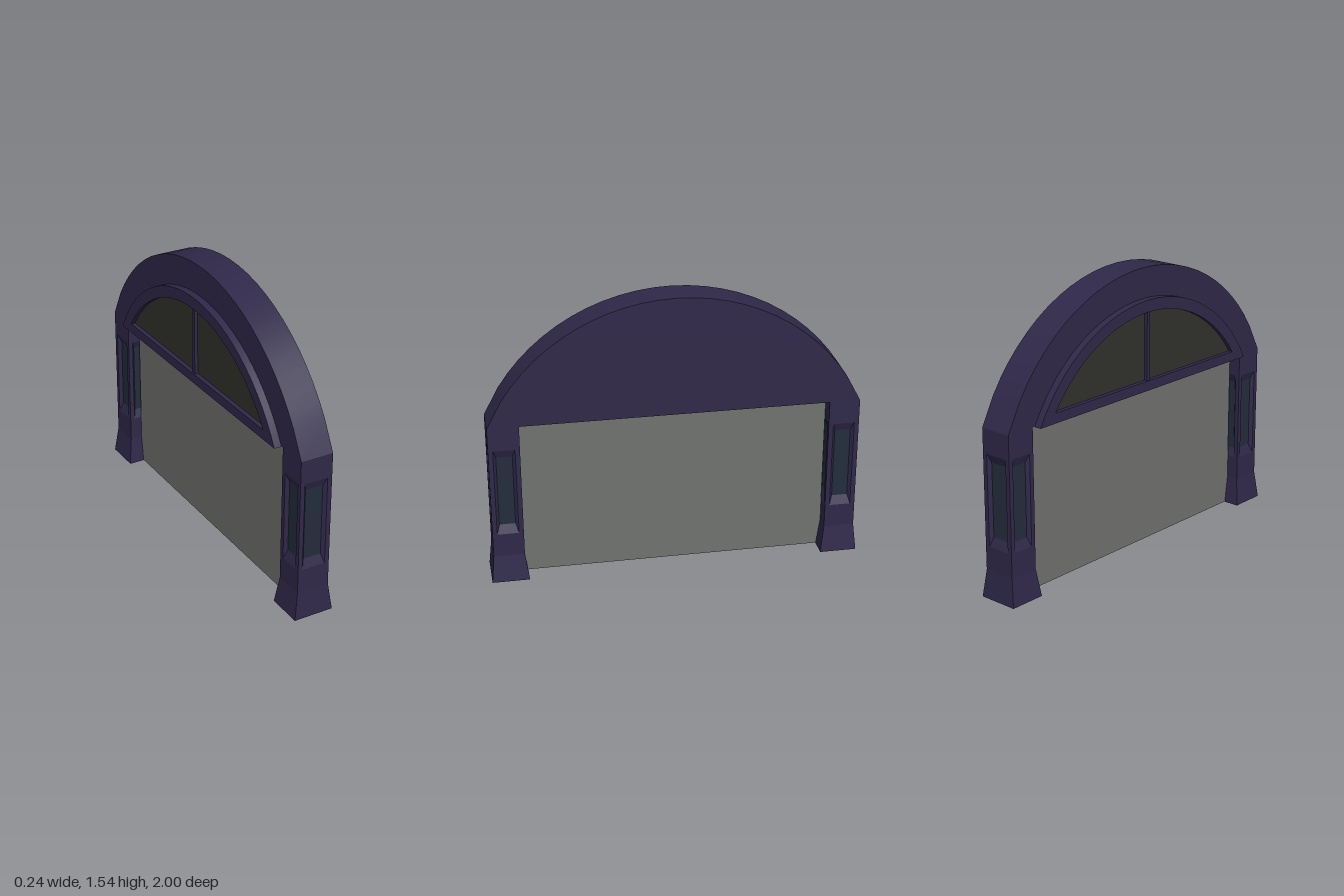
import * as THREE from 'three';
import { toCreasedNormals } from 'three/addons/utils/BufferGeometryUtils.js';

const stone = new THREE.MeshStandardMaterial({ color: 0x2f2849 });
const inset = new THREE.MeshStandardMaterial({ color: 0x242c3c });
const doorGrey = new THREE.MeshStandardMaterial({ color: 0x70726f });
const glass = new THREE.MeshStandardMaterial({ color: 0x31312b });

const ARC_Y = 0.471; // shared centre height of all the arcs

function add(parent, name, geometry, material) {
  const mesh = new THREE.Mesh(geometry, material);
  mesh.name = name;
  parent.add(mesh);
  return mesh;
}

// Points of a circle segment above a flat base line, from +z to -z
function segmentPoints(radius, baseY, steps) {
  const end = Math.acos((baseY - ARC_Y) / radius);
  const points = [];
  for (let i = 0; i <= steps; i++) {
    const a = end - (2 * end * i) / steps;
    points.push(new THREE.Vector2(radius * Math.sin(a), ARC_Y + radius * Math.cos(a)));
  }
  return points;
}

// Extrude a (z, y) outline along x, from x0 to x1
function slab(shape, x0, x1) {
  const g = new THREE.ExtrudeGeometry(shape, { depth: x1 - x0, bevelEnabled: false });
  g.rotateY(Math.PI / 2).translate(x0, 0, 0);
  return toCreasedNormals(g, 0.25);
}

function rect(w, y0, y1) {
  return [[-w / 2, y0], [w / 2, y0], [w / 2, y1], [-w / 2, y1]];
}

// One pillar side facing +z: flat surround, sloping reveal, sunken panel
function pillarFace(width) {
  const face = new THREE.Group();
  face.name = 'pillarFace';
  const depth = 0.018;
  const outer = rect(width - 0.05, 0.28, 0.77);
  const inner = rect(width - 0.08, 0.33, 0.725);
  const toVectors = (pts) => pts.map((p) => new THREE.Vector2(...p));

  const surround = new THREE.Shape(toVectors(rect(width, 0.15, 0.9)));
  surround.holes.push(new THREE.Path(toVectors(outer)));
  add(face, 'surround', new THREE.ShapeGeometry(surround), stone);

  const corners = [];
  for (let i = 0; i < 4; i++) {
    const j = (i + 1) % 4;
    const a = [...outer[i], 0], b = [...outer[j], 0];
    const c = [...inner[j], -depth], d = [...inner[i], -depth];
    corners.push(...a, ...b, ...c, ...a, ...c, ...d);
  }
  const reveal = new THREE.BufferGeometry();
  reveal.setAttribute('position', new THREE.Float32BufferAttribute(corners, 3));
  reveal.computeVertexNormals();
  add(face, 'reveal', reveal, stone);

  const panel = new THREE.ShapeGeometry(new THREE.Shape(toVectors(inner)));
  add(face, 'sunkenPanel', panel.translate(0, 0, -depth), inset);
  return face;
}

function pillar(side) {
  const group = new THREE.Group();
  group.name = side > 0 ? 'frontPillar' : 'backPillar';
  const w = 0.18, d = 0.165;
  for (let i = 0; i < 4; i++) {
    const across = i % 2 === 0;
    const face = pillarFace(across ? w : d);
    const reach = (across ? d : w) / 2;
    const a = (i * Math.PI) / 2;
    face.rotation.y = a;
    face.position.set(Math.sin(a) * reach, 0, Math.cos(a) * reach);
    group.add(face);
  }
  // Flared foot
  const foot = new THREE.BoxGeometry(w, 0.15, d).translate(0, 0.075, 0);
  const p = foot.attributes.position;
  for (let i = 0; i < p.count; i++) {
    if (p.getY(i) < 0.01) {
      p.setX(i, Math.sign(p.getX(i)) * 0.11);
      p.setZ(i, Math.sign(p.getZ(i)) * 0.1 - side * 0.0025);
    }
  }
  foot.computeVertexNormals();
  add(group, 'foot', foot, stone);
  group.position.set(0.01, 0, side * 0.9025);
  return group;
}

export function createModel() {
  const model = new THREE.Group();
  model.name = 'archedDoorway';

  for (const side of [1, -1]) model.add(pillar(side));

  // Solid arch above the opening, with straight shoulders at both ends
  const archPoints = [
    new THREE.Vector2(0.985, 0.9),
    ...segmentPoints(1.074, 1.047, 24),
    new THREE.Vector2(-0.985, 0.9),
  ];
  add(model, 'arch', slab(new THREE.Shape(archPoints), -0.08, 0.1), stone);

  // Door filling the opening
  const door = add(model, 'doorPanel', new THREE.BoxGeometry(0.03, 0.898, 1.64), doorGrey);
  door.position.set(0.003, 0.451, 0);

  // Raised half-round window on the -x side
  const window = new THREE.Group();
  window.name = 'archWindow';
  const opening = segmentPoints(0.848, 0.95, 28);
  const frame = new THREE.Shape(segmentPoints(0.912, 0.897, 28));
  frame.holes.push(new THREE.Path(opening));
  add(window, 'windowFrame', slab(frame, -0.12, -0.08), stone);
  add(window, 'windowGlass', slab(new THREE.Shape(opening), -0.096, -0.08), glass);
  const mullion = add(window, 'mullion', new THREE.BoxGeometry(0.022, 0.38, 0.022), stone);
  mullion.position.set(-0.103, 1.135, 0);
  model.add(window);

  return model;
}
